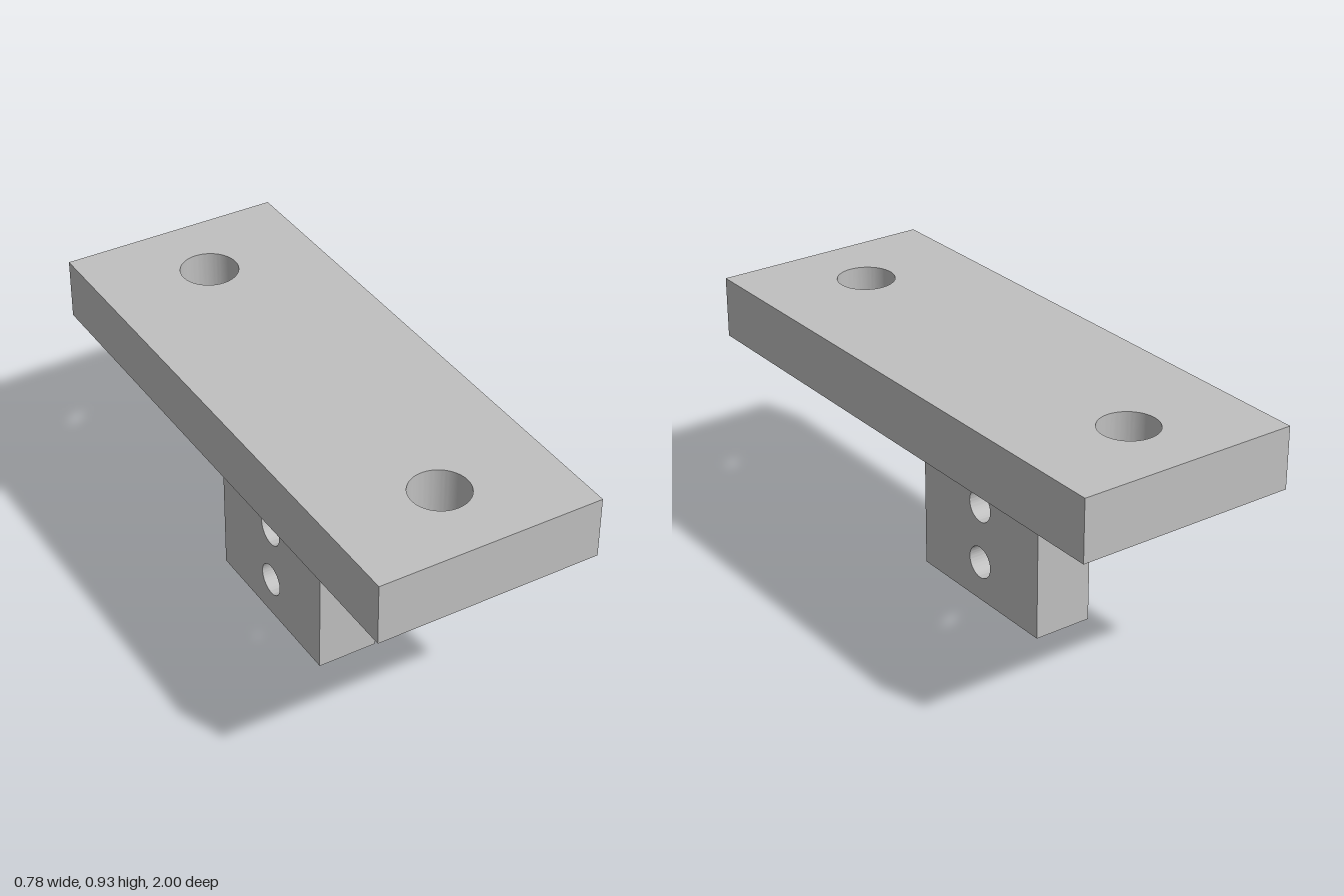
import * as THREE from 'three';
import { toCreasedNormals } from 'three/addons/utils/BufferGeometryUtils.js';

// Rectangular slab with round through-holes, extruded along +z
function drilledSlab(x0, y0, x1, y1, depth, radius, centres) {
  const shape = new THREE.Shape();
  shape.moveTo(x0, y0).lineTo(x1, y0).lineTo(x1, y1).lineTo(x0, y1).closePath();
  for (const [x, y] of centres) {
    shape.holes.push(new THREE.Path().absarc(x, y, radius, 0, Math.PI * 2, true));
  }
  return new THREE.ExtrudeGeometry(shape, { depth, bevelEnabled: false, curveSegments: 48 });
}

export function createModel() {
  const group = new THREE.Group();
  group.name = 'mountingBracket';
  const steel = new THREE.MeshStandardMaterial({ name: 'greySteel', color: 0xc0c0c0 });

  const add = (name, geometry) => {
    const mesh = new THREE.Mesh(toCreasedNormals(geometry, Math.PI / 6), steel);
    mesh.name = name;
    group.add(mesh);
  };

  const thickness = 0.215;
  const stemHeight = 0.715;

  // Horizontal plate with a bolt hole near each end
  const plate = drilledSlab(-0.392, -1, 0.392, 1, thickness, 0.1, [[0, -0.715], [0, 0.715]]);
  plate.rotateX(-Math.PI / 2).translate(0, stemHeight, 0);
  add('topPlate', plate);

  // Upright tab, set off-centre, with two cross holes
  const tab = drilledSlab(-0.32, 0, 0.32, stemHeight, thickness, 0.058, [[0, 0.143], [0, 0.358]]);
  tab.rotateY(Math.PI / 2).translate(-0.18, 0, 0);
  add('uprightTab', tab);

  return group;
}
